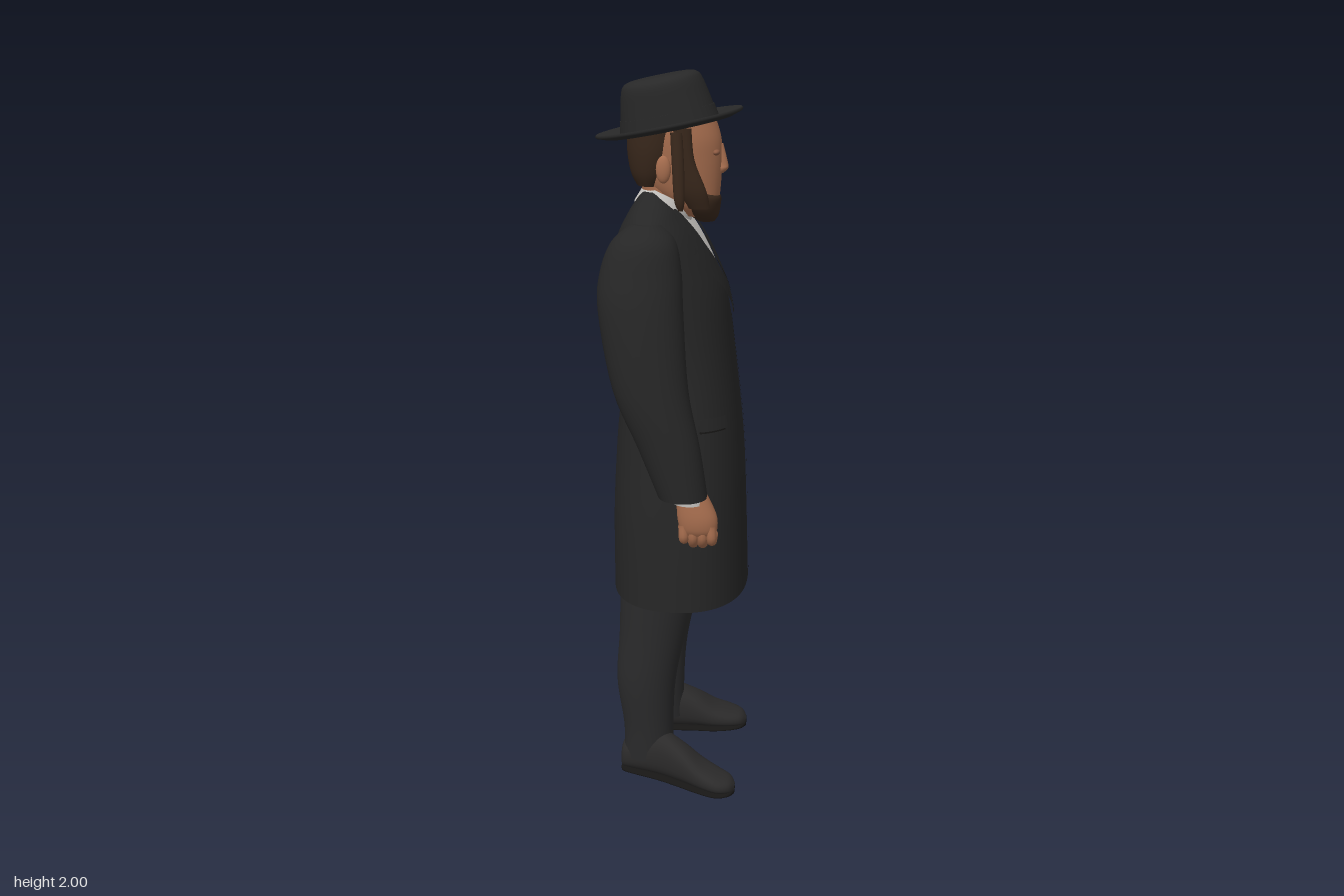
import * as THREE from 'three';

const paint = (name, color, side = THREE.FrontSide) => {
  const m = new THREE.MeshStandardMaterial({ color, side });
  m.name = name;
  return m;
};

// Smoothly interpolated section [y, cx, rx, cz, rz, power] at t in 0..1
function sample(sections, t) {
  const n = sections.length - 1, f = Math.min(t * n, n - 1e-6), i = Math.floor(f), u = f - i;
  const at = k => sections[Math.max(0, Math.min(n, k))];
  return at(i).map((b, k) => {
    const a = at(i - 1)[k], c = at(i + 1)[k], d = at(i + 2)[k];
    return b + 0.5 * u * (c - a + u * (2 * a - 5 * b + 4 * c - d + u * (3 * (b - c) + d - a)));
  });
}

// Closed body through horizontal superellipse rings, listed from bottom to top
function loft(rows, seg = 36, steps = 5) {
  const sections = rows.map(r => [...r.slice(0, 5), r[5] ?? 2]);
  const pos = [], idx = [], rings = (sections.length - 1) * steps;
  const ring = i => {
    const [y, cx, rx, cz, rz, p] = sample(sections, i / rings);
    for (let j = 0; j < seg; j++) {
      const a = j / seg * Math.PI * 2, c = Math.cos(a), s = Math.sin(a);
      pos.push(cx + rx * Math.sign(c) * Math.abs(c) ** (2 / p), y, cz + rz * Math.sign(s) * Math.abs(s) ** (2 / p));
    }
    return [cx, y, cz];
  };
  for (let i = 0; i <= rings; i++) ring(i);
  for (let i = 0; i < rings; i++) for (let j = 0; j < seg; j++) {
    const a = i * seg + j, b = i * seg + (j + 1) % seg;
    idx.push(a, a + seg, b, b, a + seg, b + seg);
  }
  for (const end of [0, rings]) {
    const start = pos.length / 3, centre = start + seg;
    pos.push(...ring(end));
    for (let j = 0; j < seg; j++) {
      const a = start + j, b = start + (j + 1) % seg;
      idx.push(centre, ...(end ? [b, a] : [a, b]));
    }
  }
  const g = new THREE.BufferGeometry();
  g.setAttribute('position', new THREE.Float32BufferAttribute(pos, 3));
  g.setIndex(idx);
  g.computeVertexNormals();
  return g;
}

const COAT = [
  [0.565, 0.018, 0.19, 0, 0.25, 2.3], [0.8, 0.014, 0.186, 0, 0.238, 2.3],
  [1.0, 0.014, 0.176, 0, 0.22, 2.3], [1.22, 0.01, 0.156, 0, 0.2, 2.3],
  [1.4, -0.016, 0.156, 0, 0.205, 2.3], [1.5, -0.038, 0.14, 0, 0.215, 2.3],
  [1.58, -0.047, 0.105, 0, 0.215, 2.2], [1.63, -0.053, 0.075, 0, 0.18, 2],
  [1.665, -0.055, 0.052, 0, 0.1, 2], [1.69, -0.055, 0.035, 0, 0.06, 2]];

// x of the coat's front surface at a given height and sideways position
function coatFront(y, z) {
  let lo = 0, hi = 1;
  for (let k = 0; k < 24; k++) {
    const mid = (lo + hi) / 2;
    if (sample(COAT, mid)[0] < y) lo = mid; else hi = mid;
  }
  const [, cx, rx, , rz, p] = sample(COAT, lo);
  return cx + rx * (1 - Math.min(1, Math.abs(z) / rz) ** p) ** (1 / p);
}

// Thin cloth panel lying on the coat front; rows are [y, z0, z1], bottom to top
function panel(rows, lift, nu = 8, steps = 6) {
  const pos = [], idx = [], nv = (rows.length - 1) * steps;
  for (let i = 0; i <= nv; i++) {
    const k = Math.min(Math.floor(i / steps), rows.length - 2), u = i / steps - k;
    const [y, z0, z1] = rows[k].map((v, c) => v + (rows[k + 1][c] - v) * u);
    for (let j = 0; j <= nu; j++) {
      const z = z0 + (z1 - z0) * j / nu;
      pos.push(coatFront(y, z) + lift, y, z);
      if (i < nv && j < nu) {
        const a = i * (nu + 1) + j, c = a + nu + 1;
        idx.push(a, c, a + 1, a + 1, c, c + 1);
      }
    }
  }
  const g = new THREE.BufferGeometry();
  g.setAttribute('position', new THREE.Float32BufferAttribute(pos, 3));
  g.setIndex(idx);
  g.computeVertexNormals();
  return g;
}

export function createModel() {
  const model = new THREE.Group();
  const cloth = paint('coat cloth', 0x262626, THREE.DoubleSide), felt = paint('hat felt', 0x282828);
  const trouser = paint('trouser cloth', 0x2a2a2b), leather = paint('shoe leather', 0x2b2a2a);
  const dark = paint('dark trim', 0x171615, THREE.DoubleSide), skin = paint('skin', 0xa66d4e);
  const shade = paint('shaded skin', 0x8c5a42), hair = paint('hair', 0x38271b);
  const linen = paint('white linen', 0xc9c6c2, THREE.DoubleSide);
  const add = (name, geo, mat, parent = model) => {
    const m = new THREE.Mesh(geo, mat);
    m.name = name;
    parent.add(m);
    return m;
  };
  const ball = (name, mat, p, r, parent) => {
    const m = add(name, new THREE.SphereGeometry(1, 20, 14), mat, parent);
    m.position.set(...p);
    m.scale.set(...r);
    return m;
  };

  // Coat with lapels, overlapping front edge and pocket flaps
  add('coat', loft(COAT, 64, 6), cloth);
  add('shirtFront', panel([[1.5, -0.012, -0.008], [1.57, -0.04, 0.04], [1.64, -0.065, 0.065]], 0.005), linen);
  add('rightLapel', panel([[1.37, -0.05, -0.03], [1.5, -0.008, 0.115], [1.54, 0.02, 0.145], [1.55, 0.026, 0.115], [1.65, 0.06, 0.085]], 0.007), cloth);
  add('leftLapel', panel([[1.34, -0.087, -0.08], [1.5, -0.14, -0.012], [1.54, -0.16, -0.025], [1.55, -0.125, -0.03], [1.65, -0.085, -0.06]], 0.009), cloth);
  add('lapelEdge', panel([[1.34, -0.087, -0.081], [1.43, -0.05, -0.042], [1.5, -0.012, -0.006]], 0.01, 2), dark);
  add('frontEdge', panel([[0.567, -0.041, -0.036], [1.0, -0.067, -0.062], [1.3, -0.086, -0.081], [1.34, -0.087, -0.082]], 0.003, 2), dark);

  for (const s of [1, -1]) {
    const side = new THREE.Group();
    side.name = s > 0 ? 'rightSide' : 'leftSide';
    model.add(side);
    add('pocketFlap', panel([[1.075, s * 0.145, s * 0.2], [1.11, s * 0.14, s * 0.2]], 0.009), cloth, side);
    add('pocketShadow', panel([[1.07, s * 0.145, s * 0.2], [1.076, s * 0.145, s * 0.2]], 0.006), dark, side);

    // Sleeve and cuff
    add('sleeve', loft([
      [0.915, 0.053, 0.066, s * 0.262, 0.062], [1.05, 0.015, 0.083, s * 0.26, 0.062],
      [1.2, -0.035, 0.1, s * 0.245, 0.072], [1.4, -0.065, 0.112, s * 0.213, 0.083],
      [1.5, -0.068, 0.108, s * 0.19, 0.084], [1.58, -0.062, 0.085, s * 0.172, 0.076],
      [1.625, -0.055, 0.04, s * 0.15, 0.05]]), cloth, side);
    add('cuff', loft([[0.9, 0.07, 0.046, s * 0.258, 0.045], [0.94, 0.06, 0.048, s * 0.26, 0.046]]), linen, side);

    // Hand: palm, curled fingers and thumb
    add('palm', loft([
      [0.81, 0.095, 0.045, s * 0.263, 0.024], [0.83, 0.095, 0.052, s * 0.264, 0.032],
      [0.87, 0.09, 0.053, s * 0.262, 0.036], [0.94, 0.072, 0.036, s * 0.258, 0.03]], 24), skin, side);
    for (let i = 0; i < 4; i++) {
      const x = 0.056 + i * 0.025, drop = [0.015, 0, 0, 0.01][i];
      const path = new THREE.CatmullRomCurve3([
        new THREE.Vector3(x, 0.84, s * 0.275), new THREE.Vector3(x + 0.002, 0.8, s * 0.275),
        new THREE.Vector3(x, 0.778 + drop, s * 0.25), new THREE.Vector3(x, 0.785 + drop, s * 0.225)]);
      add('finger', new THREE.TubeGeometry(path, 12, 0.014, 10), skin, side);
      ball('fingertip', skin, [x, 0.785 + drop, s * 0.225], [0.014, 0.014, 0.014], side);
    }
    const thumb = ball('thumb', skin, [0.118, 0.845, s * 0.222], [0.017, 0.048, 0.017], side);
    thumb.rotation.x = s * 0.35;

    // Trouser leg
    const lz = s > 0 ? 0.132 : -0.116, toe = s > 0 ? 0.23 : -0.155;
    add('trouserLeg', loft([
      [0.055, -0.062, 0.074, lz, 0.062], [0.15, -0.063, 0.072, lz, 0.066],
      [0.3, -0.068, 0.085, lz + s * 0.004, 0.073], [0.45, -0.05, 0.095, lz, 0.08],
      [0.62, -0.03, 0.11, lz, 0.086]]), trouser, side);

    // Shoe and sole, lofted from heel to toe; columns are x, height, half width
    const shoe = [[-0.142, 0.07, 0.022], [-0.125, 0.095, 0.042], [-0.03, 0.14, 0.047], [0.04, 0.118, 0.051],
      [0.1, 0.078, 0.057], [0.15, 0.058, 0.053], [0.185, 0.046, 0.036], [0.2, 0.03, 0.012]];
    const run = f => loft(shoe.map(([x, h, w]) => {
      const t = Math.max(0, (x + 0.1) / 0.3);
      const [low, high, grow] = f(h);
      return [x, -(low + high) / 2, (high - low) / 2, lz + (toe - lz) * Math.min(1, t * 1.15), w + grow, 2.4];
    }), 28, 4);
    add('shoe', run(h => [0.006, h, 0]), leather, side).rotation.z = -Math.PI / 2;
    add('sole', run(() => [0, 0.016, 0.003]), dark, side).rotation.z = -Math.PI / 2;
  }

  // Neck and shirt collar
  add('neck', loft([[1.6, -0.04, 0.06, 0, 0.062], [1.68, -0.032, 0.06, 0, 0.062], [1.78, -0.03, 0.07, 0, 0.066]]), skin);
  const collar = add('shirtCollar', loft([[-0.035, 0, 0.082, 0, 0.08], [0.022, 0, 0.073, 0, 0.069]]), linen);
  collar.position.set(-0.024, 1.662, 0);
  collar.rotation.z = -0.4;

  // Head and face
  const head = new THREE.Group();
  head.name = 'head';
  model.add(head);
  add('face', loft([
    [1.625, 0.06, 0.04, 0, 0.04], [1.66, 0.042, 0.072, 0, 0.066], [1.71, 0.015, 0.105, 0, 0.079],
    [1.78, 0.003, 0.12, 0, 0.086], [1.83, 0, 0.12, 0, 0.088], [1.88, -0.005, 0.11, 0, 0.084]]), skin, head);
  add('nose', loft([
    [1.738, 0.115, 0.012, 0, 0.013], [1.75, 0.118, 0.021, 0, 0.017], [1.765, 0.119, 0.019, 0, 0.013],
    [1.815, 0.113, 0.012, 0, 0.009]], 16), skin, head);
  ball('mouth', shade, [0.108, 1.705, 0], [0.011, 0.006, 0.027], head);
  add('beard', loft([
    [1.61, 0.082, 0.022, 0, 0.026], [1.625, 0.076, 0.038, 0, 0.047], [1.65, 0.068, 0.051, 0, 0.066],
    [1.675, 0.058, 0.062, 0, 0.075], [1.69, 0.038, 0.066, 0, 0.08]]), hair, head);
  add('hair', loft([
    [1.705, -0.065, 0.04, 0, 0.062], [1.74, -0.06, 0.062, 0, 0.079], [1.8, -0.052, 0.079, 0, 0.091],
    [1.87, -0.045, 0.085, 0, 0.093]]), hair, head);
  for (const s of [1, -1]) {
    ball('eye', shade, [0.11, 1.795, s * 0.034], [0.01, 0.008, 0.018], head);
    ball('ear', skin, [-0.022, 1.755, s * 0.09], [0.02, 0.036, 0.013], head);
    add('sideBeard', loft([
      [1.65, 0.068, 0.03, s * 0.052, 0.018], [1.7, 0.05, 0.038, s * 0.068, 0.018],
      [1.78, 0.03, 0.028, s * 0.078, 0.014], [1.86, 0.025, 0.025, s * 0.08, 0.013]], 20), hair, head);
    add('sidelock', loft([
      [1.65, 0.025, 0.006, s * 0.103, 0.006], [1.68, 0.022, 0.014, s * 0.105, 0.012],
      [1.76, 0.018, 0.016, s * 0.1, 0.013], [1.85, 0.012, 0.016, s * 0.09, 0.012]], 16), hair, head);
  }

  // Tilted hat: oval crown, band and brim
  const hat = new THREE.Group();
  hat.name = 'hat';
  hat.position.set(-0.018, 1.859, 0);
  hat.rotation.z = 0.2;
  model.add(hat);
  add('crown', loft([
    [0, 0, 0.131, 0, 0.108], [0.06, 0, 0.12, 0, 0.105], [0.105, 0, 0.109, 0, 0.102],
    [0.123, 0, 0.098, 0, 0.09], [0.13, 0, 0.075, 0, 0.068], [0.131, 0, 0.03, 0, 0.028]], 48), felt, hat);
  add('hatBand', loft([[0.004, 0, 0.133, 0, 0.11], [0.035, 0, 0.1275, 0, 0.1085]], 48), felt, hat);
  const rim = [[0, -0.008], [0.6, -0.008], [0.85, -0.005], [0.985, 0.004], [1, 0.009], [0.985, 0.013], [0.85, 0.006], [0.6, 0.004], [0, 0.004]];
  const brim = add('brim', new THREE.LatheGeometry(rim.map(p => new THREE.Vector2(...p)), 64), felt, hat);
  brim.scale.set(0.2, 1, 0.168);
  return model;
}
